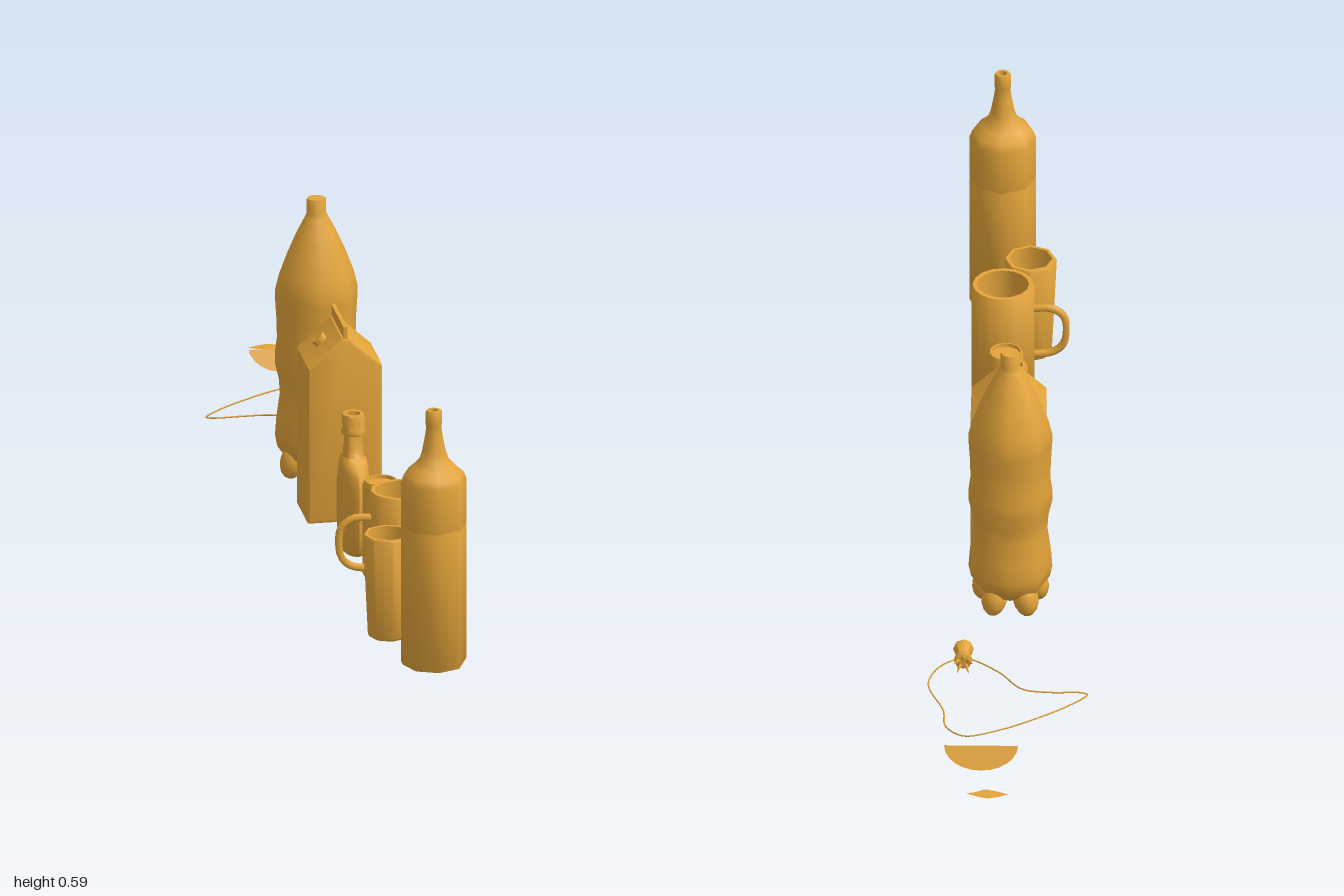
import * as THREE from 'three';
import { toCreasedNormals, mergeVertices } from 'three/addons/utils/BufferGeometryUtils.js';

const material = new THREE.MeshStandardMaterial({ color: 0xe3a43a, side: THREE.DoubleSide });

function part(name, geometry, x = 0, y = 0, z = 0) {
  const mesh = new THREE.Mesh(geometry, material);
  mesh.name = name;
  mesh.position.set(x, y, z);
  return mesh;
}

function group(name, x, z, ...parts) {
  const g = new THREE.Group();
  g.name = name;
  g.position.set(x, 0, z);
  g.add(...parts);
  return g;
}

// Turned shape from [radius, height] pairs, smooth around, sharp at rims
function turned(profile, sides) {
  const points = profile.map(([r, y]) => new THREE.Vector2(r, y));
  return toCreasedNormals(new THREE.LatheGeometry(points, sides), 0.9);
}

// Hollow vessel with a solid floor
function vessel(rBottom, rTop, height, wall, floor, sides) {
  return turned([
    [0, 0], [rBottom - 0.004, 0], [rBottom, 0.005], [rTop, height - 0.003], [rTop - 0.002, height],
    [rTop - wall, height], [rBottom - wall, floor], [0, floor],
  ], sides);
}

function tube(points, radius, segments, sides, closed = false) {
  const curve = new THREE.CatmullRomCurve3(points.map((p) => new THREE.Vector3(...p)), closed);
  return new THREE.TubeGeometry(curve, segments, radius, sides, closed);
}

function tallBottle() {
  const glass = turned([
    [0, 0.006], [0.05, 0.003], [0.063, 0.002], [0.0675, 0.01], [0.0675, 0.298], [0.0665, 0.301],
    [0.0675, 0.304], [0.0675, 0.395], [0.062, 0.41], [0.045, 0.425], [0.031, 0.44], [0.024, 0.46],
    [0.018, 0.492], [0.0155, 0.51], [0.0165, 0.515], [0.0165, 0.543], [0.015, 0.546],
    [0.009, 0.546], [0.009, 0.52], [0, 0.52],
  ], 8);
  return group('tallBottle', 0.037, 0.932, part('bottleGlass', glass));
}

function mug() {
  const handle = tube([
    [-0.05, 0.198, 0], [-0.1, 0.198, 0], [-0.123, 0.18, 0], [-0.128, 0.15, 0],
    [-0.122, 0.115, 0], [-0.1, 0.096, 0], [-0.05, 0.09, 0],
  ], 0.008, 20, 6);
  return group('mug', 0.03, 0.59,
    part('mugBody', vessel(0.0635, 0.0635, 0.255, 0.011, 0.015, 16)),
    part('mugHandle', handle));
}

function can() {
  const body = turned([
    [0, 0.006], [0.028, 0.006], [0.031, 0], [0.037, 0.01], [0.037, 0.198], [0.033, 0.21],
    [0.03, 0.21], [0.029, 0.203], [0, 0.203],
  ], 14);
  return group('can', 0.021, 0.403, part('canBody', body));
}

// Flattened flask with a round neck and a finger ring
function flask() {
  const body = new THREE.LatheGeometry([
    [0, 0], [0.055, 0], [0.066, 0.01], [0.073, 0.06], [0.075, 0.11], [0.073, 0.145], [0.066, 0.175],
    [0.05, 0.193], [0.028, 0.2], [0.022, 0.21], [0.018, 0.245], [0.024, 0.248], [0.025, 0.256],
    [0.022, 0.262], [0.024, 0.285], [0.022, 0.29], [0.014, 0.29], [0.014, 0.28], [0, 0.28],
  ].map((p) => new THREE.Vector2(...p)), 14);
  const pos = body.attributes.position;
  for (let i = 0; i < pos.count; i++) {
    const flat = THREE.MathUtils.lerp(0.44, 1, THREE.MathUtils.smoothstep(pos.getY(i), 0.185, 0.215));
    pos.setX(i, pos.getX(i) * flat);
  }
  const ring = new THREE.TorusGeometry(0.013, 0.004, 6, 12).rotateY(Math.PI / 2);
  return group('flask', -0.003, 0.22,
    part('flaskBody', toCreasedNormals(body, 0.9)),
    part('fingerRing', ring, 0, 0.236, -0.022));
}

// Gable-topped carton with a seam on the ridge and a screw cap
function carton() {
  const b = 0.008;
  const shape = new THREE.Shape([
    [-0.068, b], [0.068, b], [0.068, 0.33], [0.004, 0.388], [-0.004, 0.388], [-0.068, 0.33],
  ].map((p) => new THREE.Vector2(...p)));
  const body = new THREE.ExtrudeGeometry(shape, {
    depth: 0.13, bevelEnabled: true, bevelSize: b, bevelThickness: b, bevelSegments: 2,
  }).translate(0, 0, -0.065);
  const cap = part('cartonCap', toCreasedNormals(new THREE.CylinderGeometry(0.015, 0.015, 0.016, 12), 0.9),
    -0.041, 0.371, 0);
  cap.rotation.z = 0.74;
  return group('carton', 0.008, -0.005,
    part('cartonBody', toCreasedNormals(body, 0.5)),
    part('topSeam', new THREE.BoxGeometry(0.008, 0.04, 0.138), 0, 0.4, 0), cap);
}

// Waisted bottle standing on five rounded feet
function sodaBottle() {
  const body = turned([
    [0, 0.035], [0.035, 0.03], [0.066, 0.045], [0.08, 0.065], [0.085, 0.09], [0.082, 0.13],
    [0.075, 0.18], [0.077, 0.21], [0.085, 0.245], [0.085, 0.27], [0.081, 0.3], [0.082, 0.34],
    [0.085, 0.385], [0.085, 0.402], [0.077, 0.435], [0.06, 0.48], [0.04, 0.525], [0.024, 0.555],
    [0.02, 0.563], [0.02, 0.592], [0.019, 0.594], [0, 0.594],
  ], 8);
  const g = group('sodaBottle', 0, -0.23, part('sodaBody', body));
  for (let i = 0; i < 5; i++) {
    const a = (i / 5) * Math.PI * 2;
    const foot = part('foot', new THREE.SphereGeometry(0.026, 10, 8), Math.sin(a) * 0.054, 0.038, Math.cos(a) * 0.054);
    foot.scale.y = 1.45;
    foot.rotation.set(-0.25, a, 0, 'YXZ');
    g.add(foot);
  }
  return g;
}

// Thin cord loop lying on the floor with a flared stopper
function stopperOnCord() {
  const cord = tube([
    [-0.163, 0.005, -0.59], [-0.13, 0.005, -0.63], [-0.075, 0.005, -0.675], [0.01, 0.005, -0.73],
    [0.085, 0.005, -0.756], [0.122, 0.005, -0.72], [0.128, 0.006, -0.66], [0.16, 0.013, -0.57],
    [0.137, 0.019, -0.51], [0.088, 0.022, -0.483], [0.02, 0.014, -0.52], [-0.03, 0.007, -0.575],
    [-0.09, 0.005, -0.584], [-0.145, 0.005, -0.583],
  ], 0.0017, 90, 5, true);
  const plug = turned([
    [0, 0], [0.02, 0], [0.021, 0.006], [0.011, 0.034], [0.018, 0.04], [0.018, 0.052], [0.01, 0.056], [0, 0.056],
  ], 8).rotateX(-Math.PI / 2);
  const g = group('stopperOnCord', 0, 0, part('cord', cord), part('stopper', plug, 0.091, 0.021, -0.44));
  // Crown of small prongs around the head
  for (let i = 0; i < 5; i++) {
    const a = (i / 5) * Math.PI * 2;
    const prong = part('prong', new THREE.ConeGeometry(0.006, 0.028, 5),
      0.091 + Math.sin(a) * 0.014, 0.021 + Math.cos(a) * 0.014, -0.502);
    prong.rotation.set(-Math.PI / 2 + Math.cos(a) * 0.5, 0, -Math.sin(a) * 0.5);
    g.add(prong);
  }
  return g;
}

// Fruit wedge: straight edge on top, two slanted faces, curved rind below
function fruitWedge() {
  const n = 12, rows = [];
  for (let i = 0; i <= n; i++) {
    const t = (i / n) * Math.PI, s = Math.sin(t), x = 0.075 * Math.cos(t);
    rows.push([[x, 0.046, 0], [x, 0.046 - 0.043 * s, 0.027 * s], [x, 0.046 - 0.043 * s, -0.027 * s]]);
  }
  const v = [];
  for (let i = 0; i < n; i++) {
    for (let k = 0; k < 3; k++) {
      const a = rows[i][k], b = rows[i + 1][k], c = rows[i][(k + 1) % 3], d = rows[i + 1][(k + 1) % 3];
      v.push(...a, ...b, ...c, ...b, ...d, ...c);
    }
  }
  const geometry = new THREE.BufferGeometry();
  geometry.setAttribute('position', new THREE.Float32BufferAttribute(v, 3));
  return group('fruitWedge', 0.048, -0.86, part('wedge', toCreasedNormals(mergeVertices(geometry), 0.6)));
}

// Flat leaf-like sliver
function sliver() {
  const shape = new THREE.Shape([
    [-0.043, 0.001], [-0.022, 0.012], [0, 0.018], [0.02, 0.011], [0.043, -0.001], [0.024, -0.007], [0.005, -0.018],
    [-0.02, -0.01],
  ].map((p) => new THREE.Vector2(...p)));
  return group('sliver', 0.033, -0.982, part('leaf', new THREE.ShapeGeometry(shape).rotateX(-Math.PI / 2), 0, 0.006, 0));
}

export function createModel() {
  return group('drinksCollection', 0, 0,
    tallBottle(),
    group('shotGlass', 0.055, 0.8, part('shotGlassBody', vessel(0.028, 0.04, 0.085, 0.008, 0.015, 8))),
    group('tallGlass', -0.023, 0.748, part('tallGlassBody', vessel(0.043, 0.053, 0.22, 0.009, 0.015, 8))),
    mug(), can(), flask(), carton(), sodaBottle(), stopperOnCord(), fruitWedge(), sliver());
}
